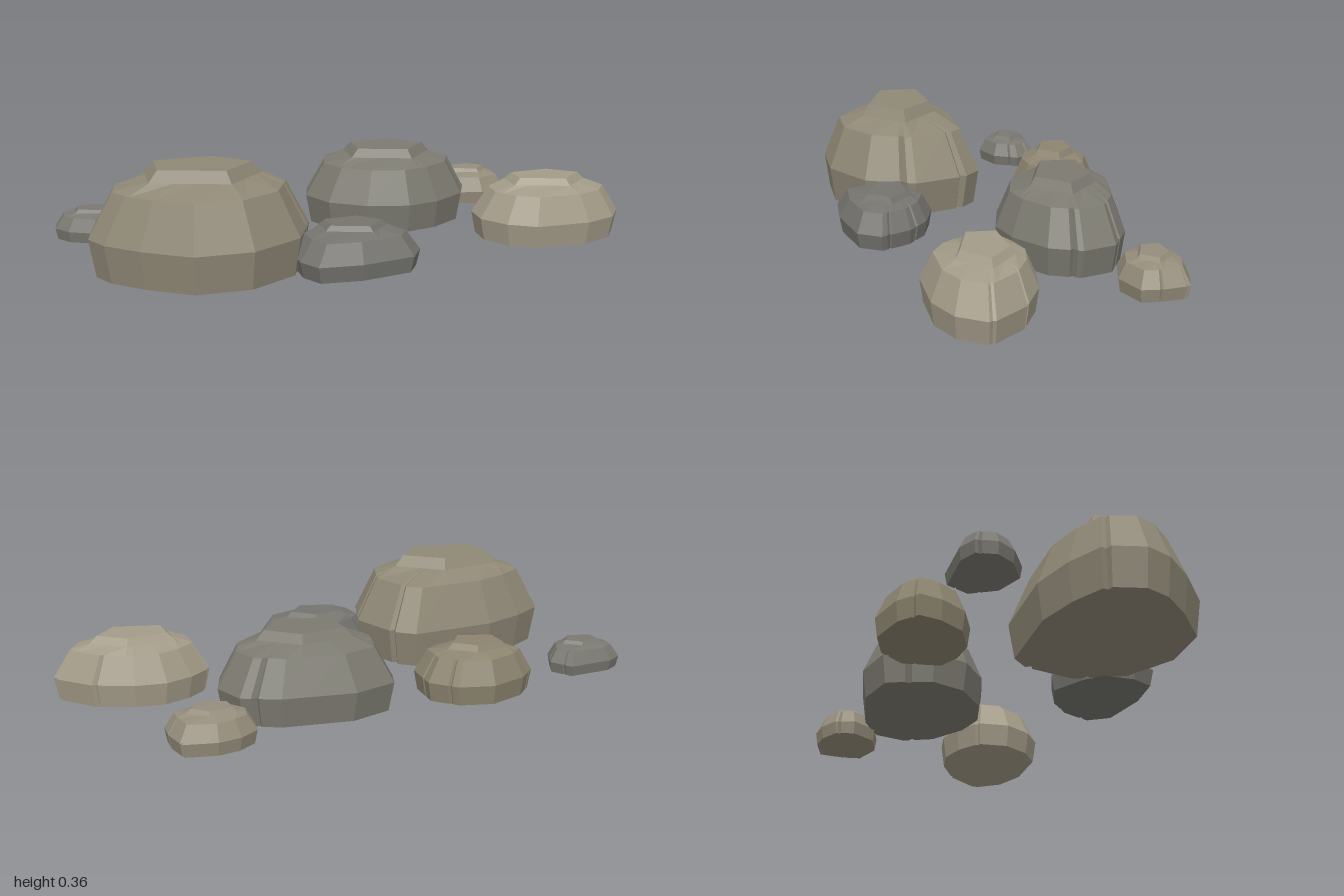
import * as THREE from 'three';

// Flat pentagonal crown shared by every rock, as fractions of its half width and half depth
const CROWN = [[-0.38, -0.36], [0.14, -0.41], [0.45, 0], [0.15, 0.42], [-0.41, 0.15]];
// Narrow vertical cracks: angle around the rock
const CRACKS = [-0.55, 0.1, -2.75];

// Distance from the centre to a polygon's edge in direction t
function reach(poly, t) {
  const dx = Math.cos(t), dz = Math.sin(t);
  let best = 0;
  poly.forEach(([ax, az], i) => {
    const [bx, bz] = poly[(i + 1) % poly.length];
    const ex = bx - ax, ez = bz - az;
    const det = ex * dz - ez * dx;
    if (Math.abs(det) < 1e-9) return;
    const r = (ex * az - ez * ax) / det;
    const s = (dx * az - dz * ax) / det;
    if (s > -1e-6 && s < 1 + 1e-6) best = Math.max(best, r);
  });
  return best;
}

// One rock: waist outline in hundredths (x, z pairs) lofted from the ground to the crown
function rock(name, color, x, z, height, coords) {
  const outline = [];
  for (let i = 0; i < coords.length; i += 2) outline.push([coords[i] / 100, coords[i + 1] / 100]);
  const w = Math.max(...outline.map(p => Math.abs(p[0])));
  const d = Math.max(...outline.map(p => Math.abs(p[1])));
  const crown = CROWN.map(([a, b]) => [a * w, b * d]);

  // Every corner of both outlines gets its own column, plus three per crack
  let columns = [...outline, ...crown].map(([a, b]) => ({ t: Math.atan2(b, a), dip: 1 }));
  for (const c of CRACKS) {
    columns = columns.filter(k => Math.abs(k.t - c) > 0.06);
    columns.push({ t: c - 0.04, dip: 1 }, { t: c, dip: 0.95 }, { t: c + 0.04, dip: 1 });
  }
  columns.sort((a, b) => a.t - b.t);

  // Rings: ground, waist, shoulder, collar, crown
  const rings = [[outline, 0.94, 0], [outline, 1, 0.36], [outline, 0.78, 0.79], [crown, 1.2, 0.89], [crown, 1, 1]];
  const n = columns.length;
  const position = [], index = [];
  for (const [poly, scale, level] of rings) {
    for (const { t, dip } of columns) {
      const r = reach(poly, t) * scale * (poly === outline ? dip : 1);
      position.push(r * Math.cos(t), level * height, r * Math.sin(t));
    }
  }
  const bottom = rings.length * n, top = bottom + 1, last = bottom - n;
  position.push(0, 0, 0, 0, height, 0);
  for (let i = 0; i < n; i++) {
    const j = (i + 1) % n;
    for (let k = 0; k < rings.length - 1; k++) {
      const a = k * n + i, b = k * n + j;
      index.push(a, a + n, b, b, a + n, b + n);
    }
    index.push(bottom, i, j, top, last + j, last + i);
  }
  const geometry = new THREE.BufferGeometry();
  geometry.setAttribute('position', new THREE.Float32BufferAttribute(position, 3));
  geometry.setIndex(index);
  geometry.computeVertexNormals();
  const mesh = new THREE.Mesh(geometry, new THREE.MeshStandardMaterial({ color, flatShading: true }));
  mesh.name = name;
  mesh.position.set(x, 0, z);
  return mesh;
}

export function createModel() {
  const group = new THREE.Group();
  group.name = 'rocks';
  group.add(
    rock('largestRock', 0x8f8876, -0.56, 0.23, 0.362,
      [-6, -27, 26, -27, 32, -21, 37, -1, 29, 17, 11, 28, -9, 28, -24, 17, -34, 7, -38, -2, -35, -15, -22, -22]),
    rock('backCentreRock', 0x7c7a70, 0.24, -0.21, 0.284,
      [-25, -20, -9, -24, 16, -19, 28, -12, 31, 0, 26, 11, 13, 20, 1, 23, -14, 19, -26, 10, -31, -3, -28, -13]),
    rock('leftRock', 0xa39b88, 0.72, 0.17, 0.222,
      [-6, -19, 5, -17, 18, -10, 28, 3, 21, 13, 9, 18, -11, 18, -20, 12, -26, 2, -25, -10, -16, -16]),
    rock('frontRock', 0x75746f, -0.07, 0.35, 0.157,
      [-3, -17, 9, -13, 17, -6, 22, 5, 17, 13, -2, 17, -17, 16, -21, 8, -21, -4, -15, -10]),
    rock('backRock', 0x8c846f, -0.36, -0.35, 0.19,
      [1, -16, 13, -12, 20, -3, 18, 11, 10, 15, 0, 16, -12, 11, -18, 2, -20, -6, -13, -12]),
    rock('backLeftPebble', 0x958d7b, 0.65, -0.41, 0.126,
      [2, -12, 13, -9, 14, 1, 13, 8, 2, 12, -9, 9, -15, 0, -13, -7, -6, -11]),
    rock('backRightPebble', 0x7a7871, -0.86, -0.28, 0.108,
      [0, -10, 10, -10, 14, -2, 9, 7, -1, 11, -10, 6, -14, 0, -13, -7, -7, -10]),
  );
  return group;
}
